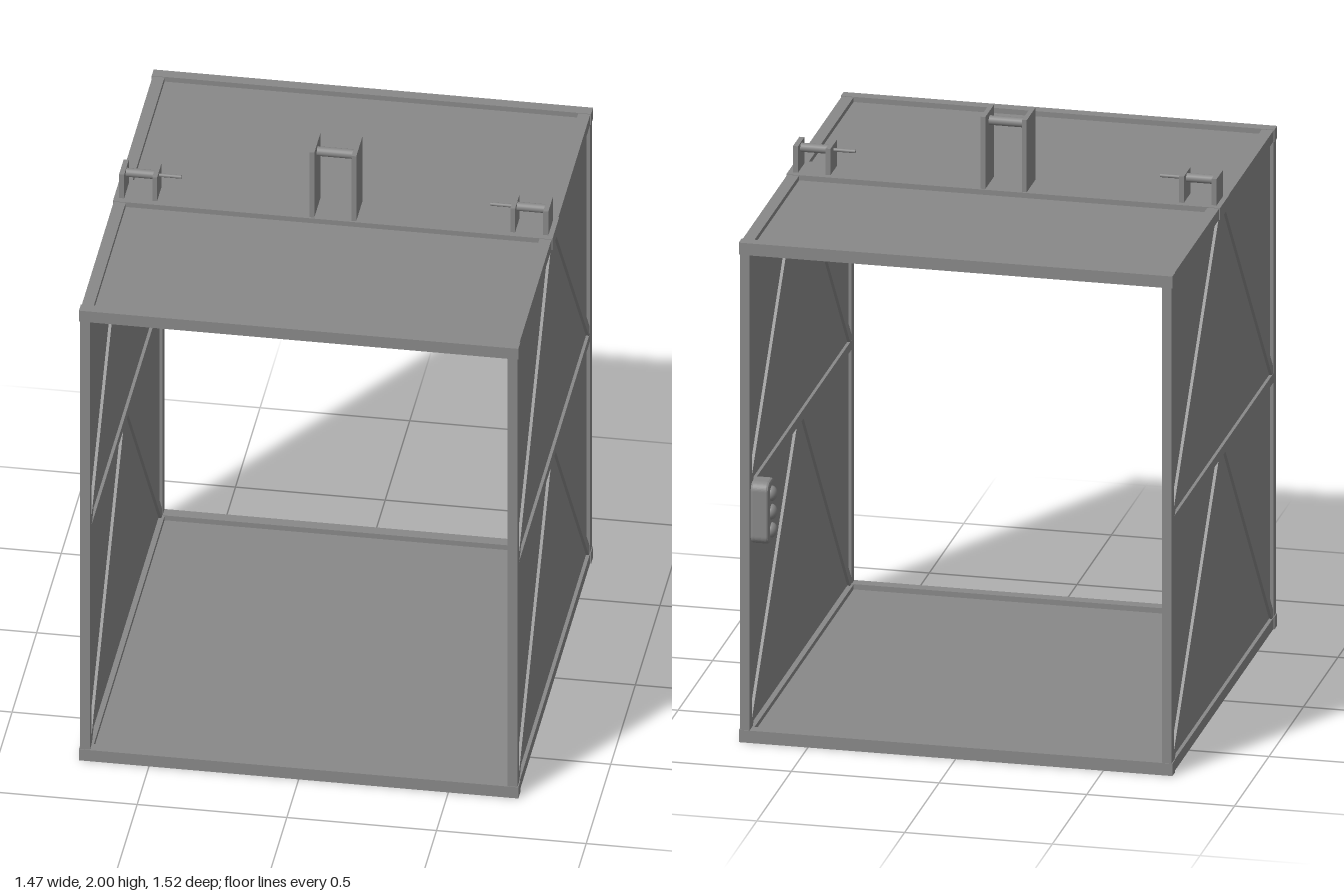
import * as THREE from 'three';

const mat = new THREE.MeshStandardMaterial({ color: 0x888888 });

function add(parent, name, geo, x = 0, y = 0, z = 0) {
  const m = new THREE.Mesh(geo, mat);
  m.name = name;
  m.position.set(x, y, z);
  parent.add(m);
  return m;
}

// Box given by its minimum and maximum on each axis
function box(parent, name, [x0, x1], [y0, y1], [z0, z1]) {
  return add(parent, name, new THREE.BoxGeometry(x1 - x0, y1 - y0, z1 - z0),
    (x0 + x1) / 2, (y0 + y1) / 2, (z0 + z1) / 2);
}

// Round bar lying along x
function pin(parent, name, x0, x1, y, r) {
  const g = new THREE.CylinderGeometry(r, r, x1 - x0, 20).rotateZ(Math.PI / 2);
  return add(parent, name, g, (x0 + x1) / 2, y, 0);
}

// Diagonal brace, cut flush against the beam above and the corner below
function braceGeometry(top, bottom, mirror) {
  const pts = [[0.03, top], [0.07, top], [0.722, bottom + 0.025], [0.722, bottom], [0.706, bottom]];
  const shape = new THREE.Shape(pts.map(([z, y]) => new THREE.Vector2(z * mirror, y)));
  return new THREE.ExtrudeGeometry(shape, { depth: 0.03, bevelEnabled: false })
    .translate(0, 0, -0.015).rotateY(-Math.PI / 2);
}

// Rectangular frame with an inset sheet, used for floor and roof
function deck(name, y0, y1) {
  const g = new THREE.Group();
  g.name = name;
  const mid = (y0 + y1) / 2;
  for (const s of [-1, 1]) {
    add(g, s > 0 ? 'frontBeam' : 'backBeam', new THREE.BoxGeometry(1.468, y1 - y0, 0.04), 0, mid, s * 0.74);
    add(g, 'sideBeam', new THREE.BoxGeometry(0.04, y1 - y0 - 0.004, 1.44), s * 0.711, mid, 0);
  }
  box(g, 'sheet', [-0.692, 0.692], [mid - 0.011, mid + 0.003], [-0.72, 0.72]);
  return g;
}

// Side wall: posts, middle rail, sheet and braces
function wall(side) {
  const g = new THREE.Group();
  g.name = side > 0 ? 'leftWall' : 'rightWall';
  g.position.x = side * 0.714;
  for (const s of [-1, 1]) {
    add(g, 'cornerPost', new THREE.BoxGeometry(0.033, 1.664, 0.035), 0, 0.875, s * 0.7395);
    add(g, 'upperBrace', braceGeometry(1.708, 0.894, s));
    add(g, 'lowerBrace', braceGeometry(0.862, 0.041, s));
  }
  box(g, 'middleRail', [-0.0155, 0.0155], [0.862, 0.894], [-0.722, 0.722]);
  box(g, 'sheet', [-0.005, 0.005], [0.041, 1.708], [-0.722, 0.722]);
  return g;
}

// Wall-mounted control box with three domed buttons
function controlBox() {
  const g = new THREE.Group();
  g.name = 'controlBox';
  const w = 0.04, h = 0.1, r = 0.022;
  const s = new THREE.Shape();
  s.moveTo(-w + r, -h);
  s.lineTo(w - r, -h);
  s.absarc(w - r, -h + r, r, -Math.PI / 2, 0);
  s.absarc(w - r, h - r, r, 0, Math.PI / 2);
  s.absarc(-w + r, h - r, r, Math.PI / 2, Math.PI);
  s.absarc(-w + r, -h + r, r, Math.PI, Math.PI * 1.5);
  const body = new THREE.ExtrudeGeometry(s, {
    depth: 0.046, bevelSize: 0.008, bevelThickness: 0.008, bevelSegments: 2, curveSegments: 6,
  }).rotateY(-Math.PI / 2);
  add(g, 'housing', body, 0.691, 0.797, -0.7);
  for (const y of [0.858, 0.794, 0.73]) {
    const dome = new THREE.SphereGeometry(0.026, 24, 16).scale(0.8, 1, 1);
    add(g, 'button', dome, 0.638, y, -0.7);
  }
  return g;
}

// Small latch bracket on the roof edge: two plates, a sleeve and a thin bolt
function latch(side) {
  const g = new THREE.Group();
  g.name = side > 0 ? 'leftLatch' : 'rightLatch';
  const span = (a, b) => (side > 0 ? [a, b] : [-b, -a]);
  box(g, 'outerPlate', span(0.7, 0.717), [1.744, 1.84], [-0.047, 0.047]);
  box(g, 'innerPlate', span(0.59, 0.606), [1.744, 1.84], [-0.047, 0.047]);
  pin(g, 'sleeve', ...span(0.6, 0.705), 1.821, 0.015);
  pin(g, 'bolt', ...span(0.516, 0.6), 1.821, 0.006);
  return g;
}

export function createModel() {
  const model = new THREE.Group();
  model.name = 'liftCabinFrame';

  model.add(deck('floor', 0, 0.043));
  const roof = deck('roof', 1.706, 1.748);
  box(roof, 'centreBeam', [-0.734, 0.734], [1.706, 1.748], [-0.07, 0.07]);
  model.add(roof);

  for (const s of [-1, 1]) model.add(wall(s), latch(s));
  model.add(controlBox());

  // Central hanger: two tall plates joined by a pin
  const hanger = new THREE.Group();
  hanger.name = 'hanger';
  for (const s of [-1, 1]) {
    add(hanger, 'hangerPlate', new THREE.BoxGeometry(0.016, 0.254, 0.126), s * 0.07, 1.873, 0);
  }
  pin(hanger, 'hangerPin', -0.07, 0.07, 1.968, 0.016);
  model.add(hanger);

  return model;
}
